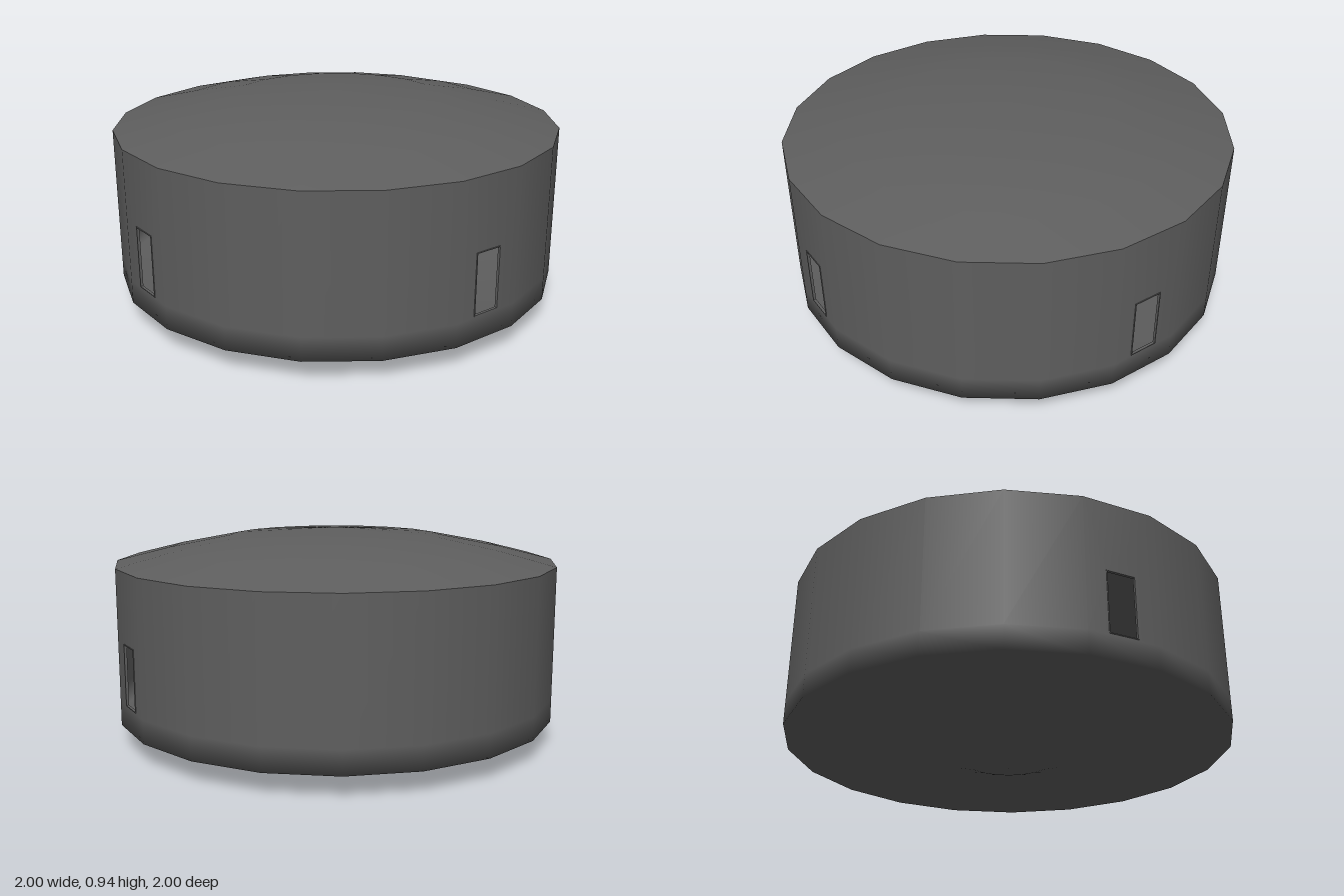
import * as THREE from 'three';
import { mergeGeometries } from 'three/addons/utils/BufferGeometryUtils.js';

const SIDES = 20;
const STEP = (Math.PI * 2) / SIDES;
const APOTHEM = Math.cos(STEP / 2);
const HALF = Math.sin(STEP / 2);
const WALL_BOTTOM = 0.2, WALL_TOP = 0.79;
const SLOT = { half: 0.061, bottom: 0.21, top: 0.475, depth: 0.012 };
const SLOT_PANELS = [4, 9, 19]; // right, back and front

// The drum is a hollow shell, seen from inside through its slots
const material = new THREE.MeshStandardMaterial({ color: 0x5e5e5e, side: THREE.DoubleSide });

function rect(Type, half, bottom, top) {
  return new Type([
    new THREE.Vector2(-half, bottom), new THREE.Vector2(half, bottom),
    new THREE.Vector2(half, top), new THREE.Vector2(-half, top),
  ]);
}

function lathe(name, profile, poleNormal) {
  const points = profile.map(([x, y]) => new THREE.Vector2(x, y));
  const geo = new THREE.LatheGeometry(points, SIDES);
  // Unit normals, pointing straight along the axis at the pole
  const p = geo.attributes.position, n = geo.attributes.normal;
  for (let k = 0; k < p.count; k++) {
    if (Math.hypot(p.getX(k), p.getZ(k)) < 1e-4) n.setXYZ(k, 0, poleNormal, 0);
  }
  geo.normalizeNormals();
  const mesh = new THREE.Mesh(geo, material);
  mesh.name = name;
  return mesh;
}

// One flat side of the drum, with a hole where a slot sits
function wallPanel(i) {
  const shape = rect(THREE.Shape, HALF, WALL_BOTTOM, WALL_TOP);
  if (SLOT_PANELS.includes(i)) shape.holes.push(rect(THREE.Path, SLOT.half, SLOT.bottom, SLOT.top));
  const geo = new THREE.ShapeGeometry(shape);
  geo.translate(0, 0, APOTHEM).rotateY((i + 0.5) * STEP);
  // Radial normals shade the drum smoothly
  const p = geo.attributes.position, n = geo.attributes.normal;
  for (let k = 0; k < p.count; k++) {
    const r = Math.hypot(p.getX(k), p.getZ(k));
    n.setXYZ(k, p.getX(k) / r, 0, p.getZ(k) / r);
  }
  return geo;
}

// Thin lining around a slot opening
function slotLining(i) {
  const ring = rect(THREE.Shape, SLOT.half + 0.004, SLOT.bottom - 0.004, SLOT.top + 0.004);
  ring.holes.push(rect(THREE.Path, SLOT.half, SLOT.bottom, SLOT.top));
  const geo = new THREE.ExtrudeGeometry(ring, { depth: SLOT.depth, bevelEnabled: false });
  geo.translate(0, 0, APOTHEM - SLOT.depth + 0.003);
  const mesh = new THREE.Mesh(geo, material);
  mesh.name = 'slotLining';
  mesh.rotation.y = (i + 0.5) * STEP;
  return mesh;
}

export function createModel() {
  const model = new THREE.Group();
  model.name = 'drum';

  // Underside with a hub, blending softly into the wall
  model.add(lathe('underside',
    [[0, 0], [0.2, 0.035], [0.29, 0.063], [1, 0.097], [1, WALL_BOTTOM]], -1));

  // Side wall
  const panels = [];
  for (let i = 0; i < SIDES; i++) panels.push(wallPanel(i));
  const wall = new THREE.Mesh(mergeGeometries(panels), material);
  wall.name = 'sideWall';
  model.add(wall);

  // Domed lid
  model.add(lathe('domedLid', [[1, WALL_TOP], [0.76, 0.85], [0.48, 0.905], [0, 0.94]], 1));

  SLOT_PANELS.forEach((i) => model.add(slotLining(i)));
  return model;
}
